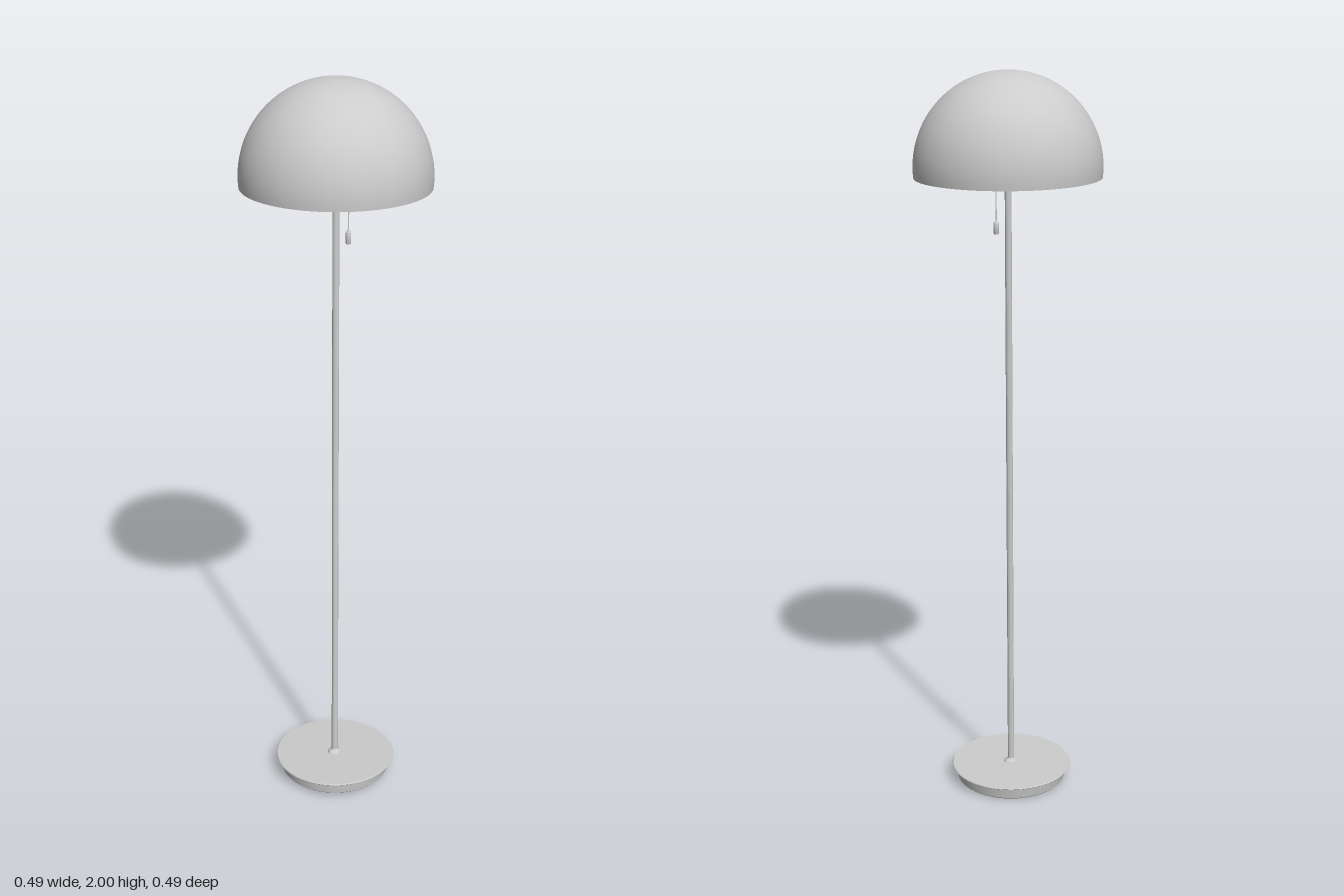
import * as THREE from 'three';
import { toCreasedNormals } from 'three/addons/utils/BufferGeometryUtils.js';

const material = new THREE.MeshStandardMaterial({ color: 0xcccccc, side: THREE.DoubleSide });

function add(parent, name, geometry) {
  const mesh = new THREE.Mesh(geometry, material);
  mesh.name = name;
  parent.add(mesh);
  return mesh;
}

// Turned part from [radius, height] pairs, listed bottom to top
function turned(points, segments = 48) {
  const profile = points.map(([r, y]) => new THREE.Vector2(r, y));
  return toCreasedNormals(new THREE.LatheGeometry(profile, segments), 0.6);
}

// Straight round rod between two points
function rod(a, b, radius, sides = 10) {
  return new THREE.TubeGeometry(new THREE.LineCurve3(a, b), 1, radius, sides);
}

export function createModel() {
  const lamp = new THREE.Group();
  lamp.name = 'floorLamp';

  // The whole lamp leans slightly backwards
  const lean = new THREE.Group();
  lean.name = 'leaningLamp';
  lean.position.set(0, 0.006, 0.07);
  lean.rotation.x = -0.04;
  lamp.add(lean);

  // Weighted foot with a thin overhanging top plate
  add(lean, 'baseWeight', turned([[0, 0], [0.15, 0], [0.153, 0.003], [0.158, 0.037], [0, 0.037]]));
  add(lean, 'basePlate', turned([[0, 0.036], [0.167, 0.036], [0.169, 0.038], [0.167, 0.041], [0, 0.041]]));
  add(lean, 'baseCollar', turned([[0.02, 0.041], [0.019, 0.044], [0.012, 0.048], [0.009, 0.052]], 24));

  // Pole and the sleeve under the socket
  add(lean, 'pole', turned([[0, 0.04], [0.009, 0.04], [0.009, 1.79], [0, 1.79]], 20));
  add(lean, 'poleSleeve', turned([[0.009, 1.69], [0.011, 1.692], [0.011, 1.785], [0.009, 1.785]], 20));

  // Socket: lower disc, neck and flared upper cup
  add(lean, 'socket', turned([
    [0, 1.772], [0.03, 1.772], [0.043, 1.78], [0.043, 1.792], [0.024, 1.797],
    [0.022, 1.812], [0.028, 1.82], [0.042, 1.835], [0.042, 1.84], [0, 1.84],
  ], 32));

  // Domed shade: a thin shell of a sphere cut just below its equator
  const R = 0.247, wall = 0.003, centre = 1.7484;
  const cut = Math.asin(0.025 / R), steps = 28;
  const shell = [];
  for (let i = 0; i <= steps; i++) {
    const a = -cut + (Math.PI / 2 + cut) * i / steps;
    shell.push([Math.max(0, R * Math.cos(a)), centre + R * Math.sin(a)]);
  }
  for (let i = steps; i >= 0; i--) {
    const a = -cut + (Math.PI / 2 + cut) * i / steps;
    shell.push([Math.max(0, (R - wall) * Math.cos(a)), centre + (R - wall) * Math.sin(a)]);
  }
  shell.push(shell[0]);
  add(lean, 'shade', turned(shell, 64));

  // Three sloping arms carry the shade
  for (let i = 0; i < 3; i++) {
    const a = Math.PI / 6 + i * Math.PI * 2 / 3;
    const at = (r, y) => new THREE.Vector3(r * Math.cos(a), y, r * Math.sin(a));
    add(lean, 'shadeArm', rod(at(0.02, 1.825), at(0.243, 1.776), 0.003, 8));
  }

  // Pull cord curving out of the socket, with a small weight
  const cord = new THREE.CatmullRomCurve3([
    new THREE.Vector3(0.018, 1.785, 0), new THREE.Vector3(0.029, 1.775, 0),
    new THREE.Vector3(0.032, 1.755, 0), new THREE.Vector3(0.032, 1.69, 0),
    new THREE.Vector3(0.032, 1.6, 0),
  ]);
  add(lean, 'pullCord', new THREE.TubeGeometry(cord, 24, 0.0018, 8));
  const weight = add(lean, 'pullWeight', turned([
    [0, 1.573], [0.006, 1.573], [0.007, 1.576], [0.007, 1.603], [0.003, 1.609], [0, 1.609],
  ], 16));
  weight.position.x = 0.032;

  return lamp;
}
